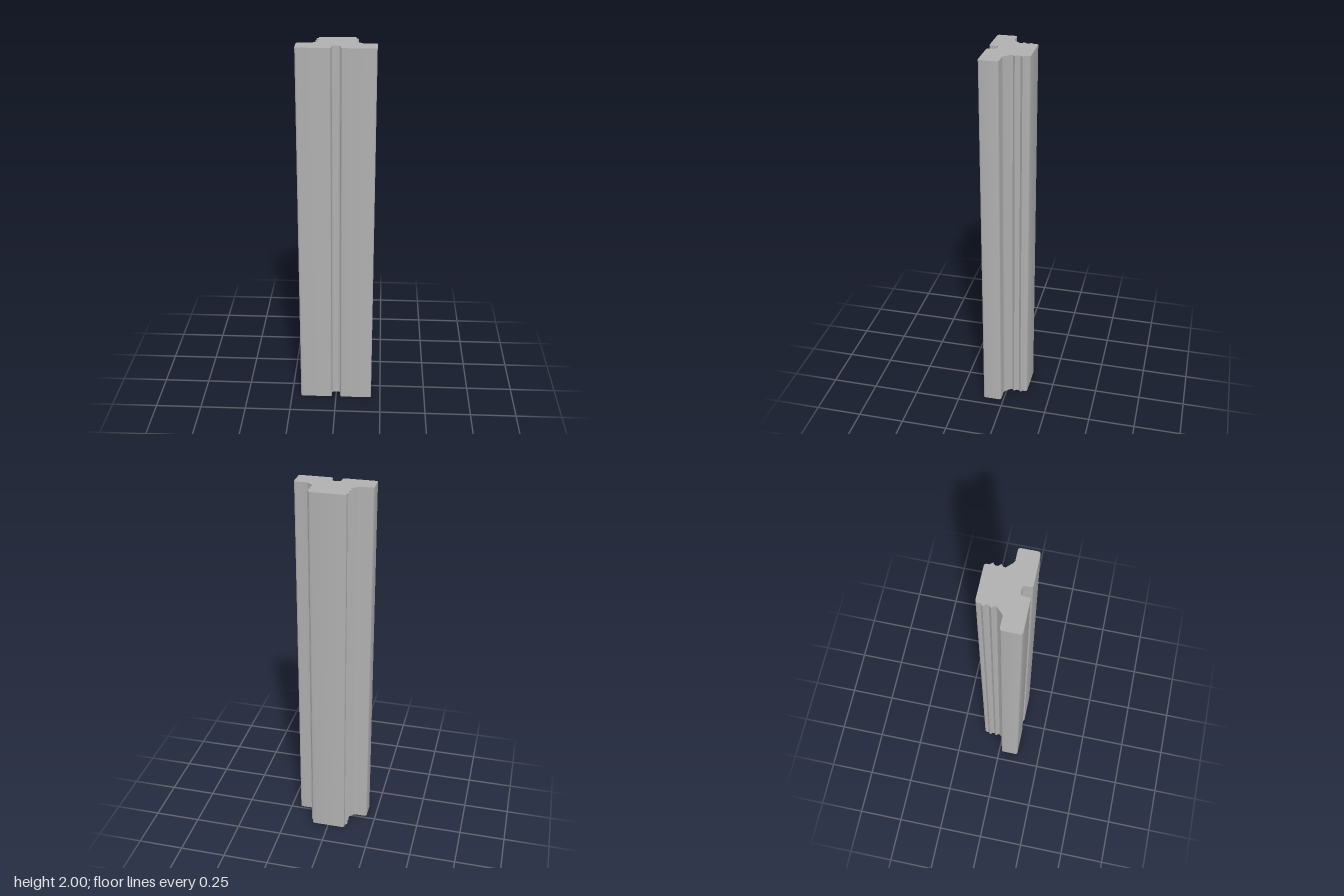
import * as THREE from 'three';
import { toCreasedNormals } from 'three/addons/utils/BufferGeometryUtils.js';

// Half of the cross-section: [x, z, corner radius], from the front groove round to the back
const HALF = [
  [0.024, 0.068, 0.014],
  [0.024, 0.115, 0.011],
  [0.199, 0.115, 0.012],
  [0.199, 0.014, 0.012],
  [0.128, 0.014, 0.022],
  [0.094, -0.02, 0],
  [0.094, -0.03, 0],
  [0.106, -0.042, 0],
  [0.094, -0.054, 0],
  [0.094, -0.067, 0],
  [0.106, -0.079, 0],
  [0.094, -0.091, 0],
  [0.094, -0.115, 0.012],
];

// Replaces each corner that has a radius with a tangent arc
function roundedOutline(corners, steps = 8) {
  const out = [];
  const n = corners.length;
  const at = (i) => new THREE.Vector2(corners[(i + n) % n][0], -corners[(i + n) % n][1]);
  for (let i = 0; i < n; i++) {
    const p = at(i);
    const r = corners[i][2];
    if (!r) {
      out.push(p);
      continue;
    }
    const a = at(i - 1).sub(p).normalize();
    const b = at(i + 1).sub(p).normalize();
    const half = Math.acos(a.dot(b)) / 2;
    const cut = r / Math.tan(half);
    const centre = a.clone().add(b).normalize().multiplyScalar(r / Math.sin(half)).add(p);
    const from = a.multiplyScalar(cut).add(p).sub(centre);
    const to = b.multiplyScalar(cut).add(p).sub(centre);
    const turn = Math.atan2(from.cross(to), from.dot(to));
    for (let k = 0; k <= steps; k++) {
      out.push(from.clone().rotateAround(new THREE.Vector2(), (turn * k) / steps).add(centre));
    }
  }
  return out;
}

export function createModel() {
  const model = new THREE.Group();
  model.name = 'slottedRail';

  const greyMetal = new THREE.MeshStandardMaterial({ color: 0xb0b0b0 });
  greyMetal.name = 'greyMetal';

  // Full section: right half followed by its mirror
  const mirrored = HALF.map(([x, z, r]) => [-x, z, r]).reverse();
  const section = new THREE.Shape(roundedOutline([...HALF, ...mirrored]));

  // Extruded upright from the ground
  const extruded = new THREE.ExtrudeGeometry(section, { depth: 2, bevelEnabled: false });
  extruded.rotateX(-Math.PI / 2);

  const rail = new THREE.Mesh(toCreasedNormals(extruded, 0.35), greyMetal);
  rail.name = 'railProfile';
  model.add(rail);
  return model;
}
